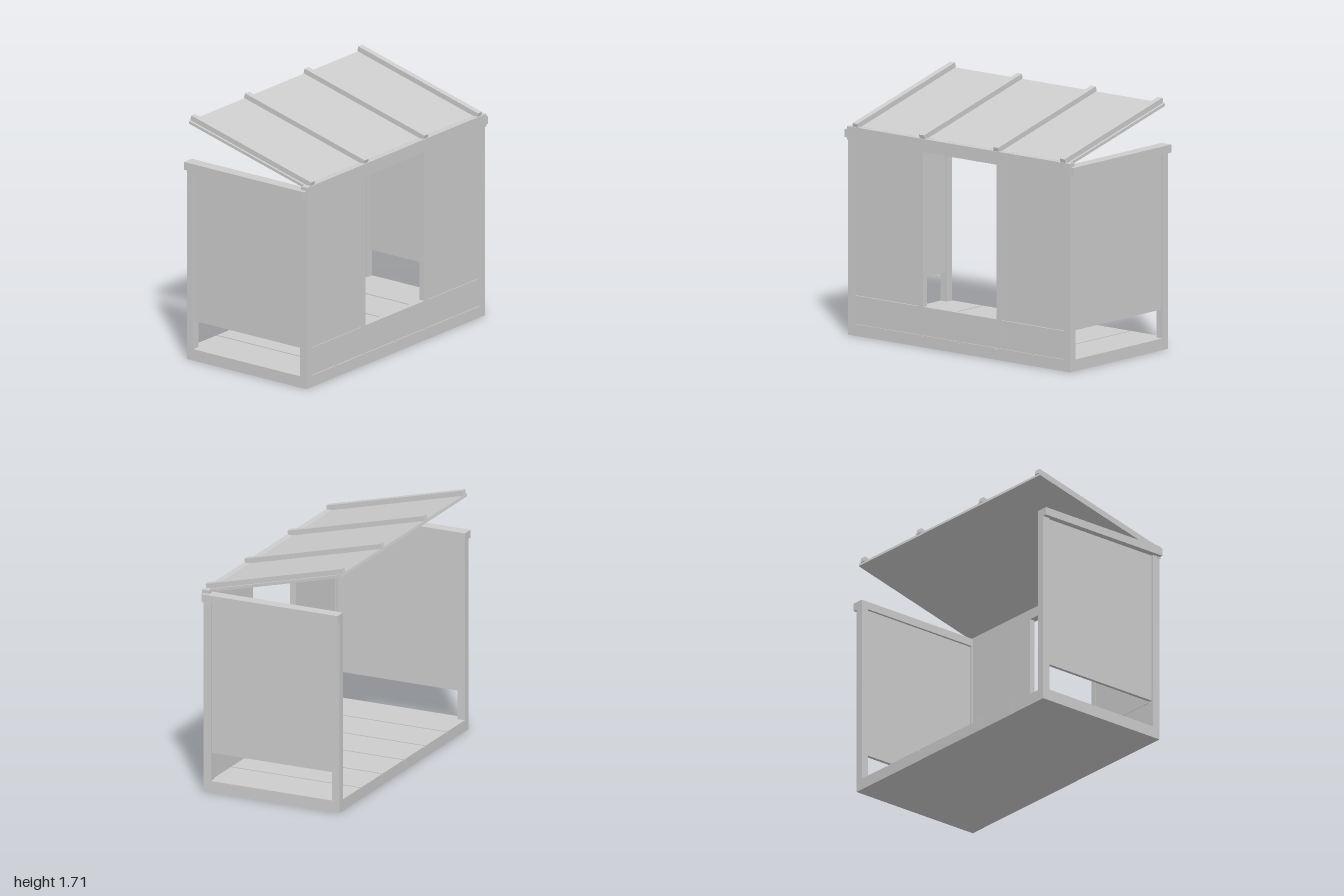
import * as THREE from 'three';

export function createModel() {
  const model = new THREE.Group();
  model.name = 'shelter';
  const paleGrey = new THREE.MeshStandardMaterial({ color: 0xcccccc });
  paleGrey.name = 'pale grey';

  // Box given by its limits on each axis
  function block(name, [x0, x1], [y0, y1], [z0, z1], parent = model) {
    const mesh = new THREE.Mesh(new THREE.BoxGeometry(x1 - x0, y1 - y0, z1 - z0), paleGrey);
    mesh.position.set((x0 + x1) / 2, (y0 + y1) / 2, (z0 + z1) / 2);
    mesh.name = name;
    parent.add(mesh);
    return mesh;
  }

  // Same box on both sides of x = 0
  function pair(name, [x0, x1], y, z, parent = model) {
    block(name + 'Left', [x0, x1], y, z, parent);
    block(name + 'Right', [-x1, -x0], y, z, parent);
  }

  // Base slab with six floor planks separated by narrow grooves
  block('baseSlab', [-0.97, 0.97], [0, 0.068], [-0.51, 0.505]);
  const plank = 1.94 / 6;
  for (let i = 0; i < 6; i++) {
    const x0 = -0.97 + i * plank + (i > 0 ? 0.006 : 0);
    const x1 = -0.97 + (i + 1) * plank - (i < 5 ? 0.006 : 0);
    block('floorPlank', [x0, x1], [0.068, 0.08], [-0.51, 0.505]);
  }

  // Corner posts and side rails
  pair('frontPost', [0.915, 0.97], [0.08, 1.345], [0.45, 0.505]);
  pair('backPost', [0.915, 0.97], [0.08, 1.345], [-0.51, -0.455]);
  pair('sideRail', [0.915, 1.0], [1.345, 1.4], [-0.51, 0.505]);

  // Side panels, open at the bottom
  pair('sidePanel', [0.932, 0.955], [0.275, 1.345], [-0.455, 0.45]);

  // Front wall: door stiles, split wall panels, low sill and top beam
  pair('doorStile', [0.32, 0.362], [0.08, 1.335], [0.457, 0.5]);
  pair('lowerFrontPanel', [0.362, 0.915], [0.08, 0.273], [0.46, 0.498]);
  pair('upperFrontPanel', [0.362, 0.915], [0.276, 1.335], [0.46, 0.498]);
  block('doorSill', [-0.32, 0.32], [0.08, 0.275], [0.46, 0.498]);
  block('frontBeam', [-0.972, 0.972], [1.335, 1.425], [0.462, 0.513]);

  // Sloping roof sheet with four battens on top
  const roof = new THREE.Group();
  roof.name = 'roof';
  roof.position.set(0, 1.55, -0.02);
  roof.rotation.x = Math.atan(0.255);
  model.add(roof);
  block('roofSheet', [-0.943, 0.943], [-0.02, 0], [-0.505, 0.505], roof);
  pair('outerBatten', [0.885, 0.927], [0, 0.035], [-0.51, 0.54], roof);
  pair('innerBatten', [0.302, 0.345], [0, 0.035], [-0.51, 0.54], roof);

  return model;
}
